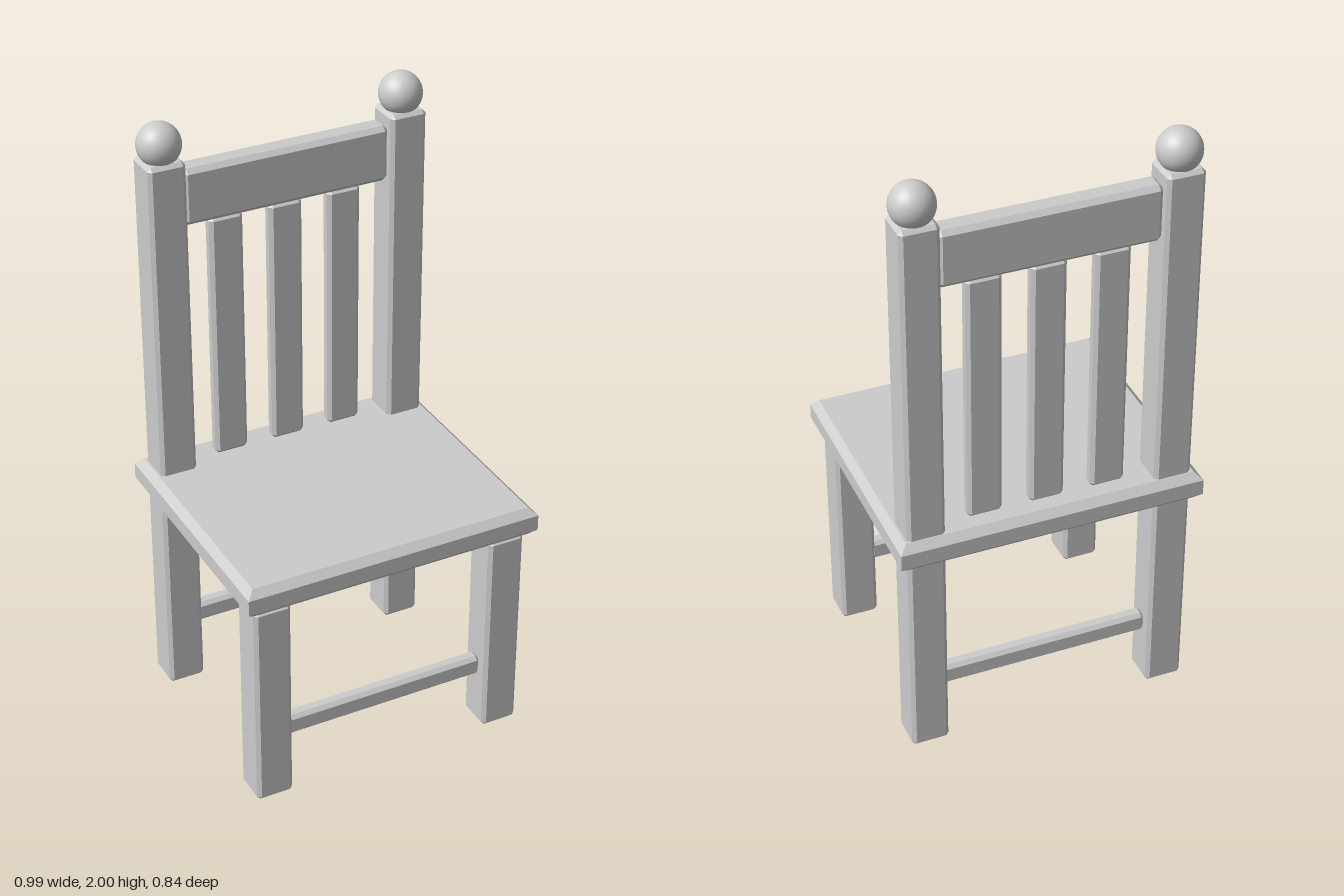
import * as THREE from 'three';
import { ConvexGeometry } from 'three/addons/geometries/ConvexGeometry.js';

// Box with chamfered edges; sharpUprights keeps the vertical edges square
function chamferBox(w, h, d, b, sharpUprights = false) {
  const points = [];
  const x = w / 2, y = h / 2, z = d / 2;
  for (const sx of [-1, 1]) for (const sy of [-1, 1]) for (const sz of [-1, 1]) {
    const add = (px, py, pz) => points.push(new THREE.Vector3(sx * px, sy * py, sz * pz));
    add(x - b, y, z - b);
    if (sharpUprights) {
      add(x, y - b, z);
    } else {
      add(x, y - b, z - b);
      add(x - b, y - b, z);
    }
  }
  return new ConvexGeometry(points);
}

export function createModel() {
  const chair = new THREE.Group();
  chair.name = 'chair';
  const grey = new THREE.MeshStandardMaterial({ color: 0xcccccc });
  grey.name = 'light grey';

  const add = (name, geometry, x, y, z) => {
    const mesh = new THREE.Mesh(geometry, grey);
    mesh.name = name;
    mesh.position.set(x, y, z);
    chair.add(mesh);
  };

  const legX = 0.403, legZ = 0.334, legWidth = 0.122, bevel = 0.012;
  const seatBottom = 0.72, seatTop = 0.82;

  // Seat slab
  add('seat', chamferBox(0.99, seatTop - seatBottom, 0.844, 0.024, true), 0, (seatBottom + seatTop) / 2, 0);

  // Front legs, tall back posts and ball finials
  const legGeometry = chamferBox(legWidth, seatBottom, legWidth, bevel);
  const postHeight = 1.885;
  const postGeometry = chamferBox(legWidth, postHeight, legWidth, bevel);
  const ballGeometry = new THREE.SphereGeometry(0.069, 32, 20);
  for (const [side, s] of [['left', 1], ['right', -1]]) {
    add(side + 'FrontLeg', legGeometry, s * legX, seatBottom / 2, legZ);
    add(side + 'BackPost', postGeometry, s * legX, postHeight / 2, -legZ);
    add(side + 'Finial', ballGeometry, s * legX, 1.931, -legZ);
  }

  // Stretchers between the legs, front and back
  const span = 2 * legX - legWidth + 0.006;
  const stretcherGeometry = chamferBox(span, 0.07, 0.05, bevel);
  add('frontStretcher', stretcherGeometry, 0, 0.225, legZ);
  add('backStretcher', stretcherGeometry, 0, 0.225, -legZ);

  // Top rail and the three back slats
  add('topRail', chamferBox(span, 0.185, 0.08, 0.015), 0, 1.753, -legZ);
  const slatGeometry = chamferBox(0.112, 0.84, 0.045, bevel);
  for (const x of [-0.2, 0, 0.2]) add('backSlat', slatGeometry, x, 1.24, -legZ);

  return chair;
}
